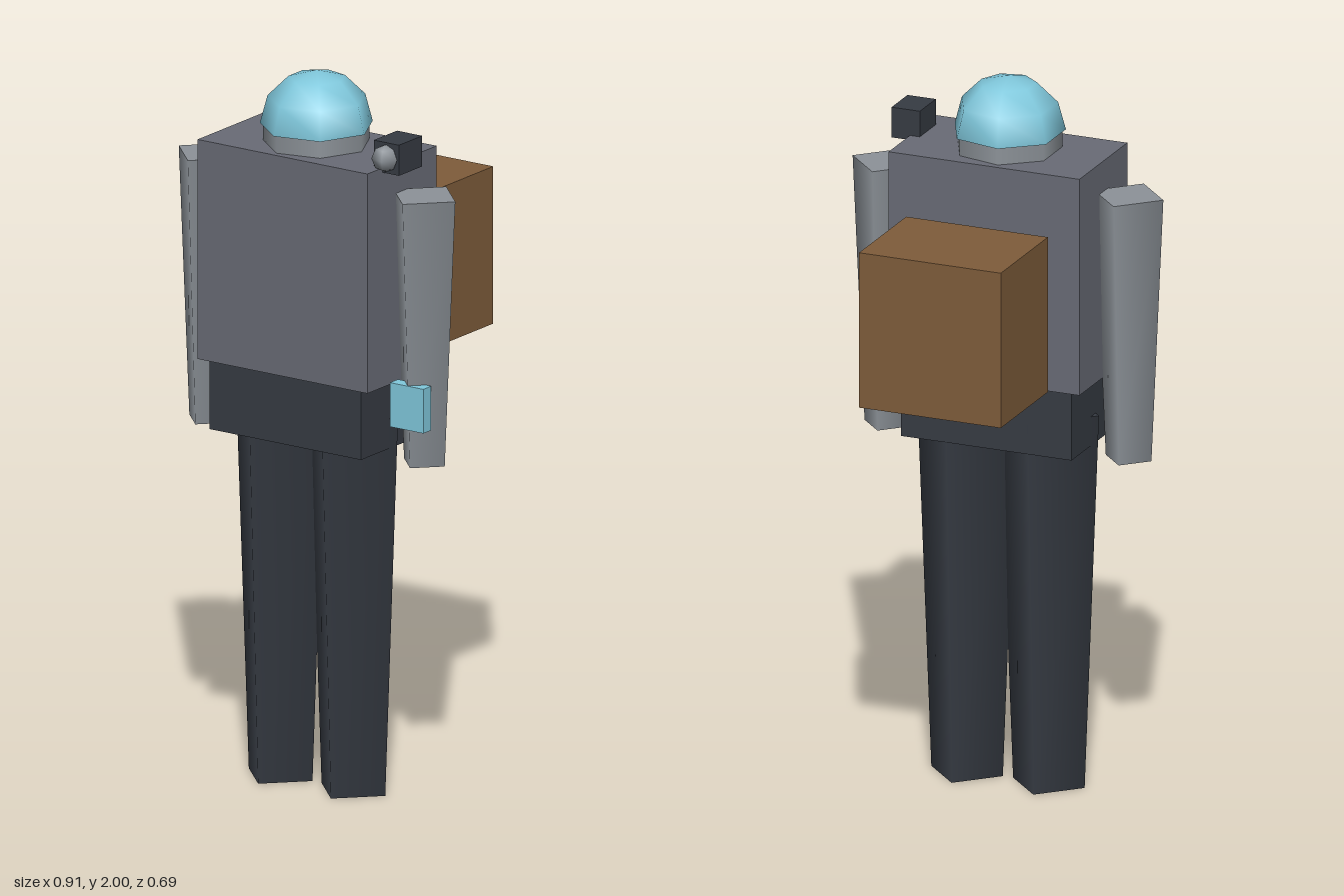
import * as THREE from 'three';

const mat = (name, color, side = THREE.FrontSide) => {
  const m = new THREE.MeshStandardMaterial({ color, side });
  m.name = name;
  return m;
};

export function createModel() {
  const model = new THREE.Group();
  model.name = 'explorer';
  const suit = mat('suitGrey', 0x686b75);
  const metal = mat('lightMetal', 0x8c9298);
  const dark = mat('darkFabric', 0x363b43);
  const brown = mat('packBrown', 0x7e5c3a);
  const glass = mat('cyanGlass', 0x80c8dc, THREE.DoubleSide);

  const add = (name, geometry, material, x, y, z) => {
    const mesh = new THREE.Mesh(geometry, material);
    mesh.name = name;
    mesh.position.set(x, y, z);
    model.add(mesh);
    return mesh;
  };
  // Box given by its lower and upper corners
  const box = (name, material, [x0, y0, z0], [x1, y1, z1]) =>
    add(name, new THREE.BoxGeometry(x1 - x0, y1 - y0, z1 - z0), material,
      (x0 + x1) / 2, (y0 + y1) / 2, (z0 + z1) / 2);
  // Four-sided tapered limb with its corners on the axes
  const limb = (name, material, rTop, rBottom, y0, y1, x) =>
    add(name, new THREE.CylinderGeometry(rTop, rBottom, y1 - y0, 4), material,
      x, (y0 + y1) / 2, 0.182);

  // Body
  box('torso', suit, [-0.28, 1.18, 0.02], [0.28, 1.797, 0.343]);
  box('pelvis', dark, [-0.25, 0.985, 0.036], [0.25, 1.18, 0.33]);
  box('backpack', brown, [-0.208, 1.195, -0.345], [0.208, 1.637, -0.027]);

  // Arms and legs
  for (const [side, s] of [['left', 1], ['right', -1]]) {
    limb(side + 'Arm', metal, 0.102, 0.067, 0.96, 1.71, 0.354 * s);
    limb(side + 'Leg', dark, 0.147, 0.105, 0, 1.068, 0.12 * s);
  }

  // Collar and domed helmet, seven-sided
  add('collar', new THREE.CylinderGeometry(0.147, 0.147, 0.07, 7), metal, 0, 1.82, 0.182)
    .rotation.y = Math.PI / 2;
  add('helmetDome', new THREE.SphereGeometry(0.156, 7, 3, 0, Math.PI * 2, 0, Math.PI / 2),
    glass, 0, 1.846, 0.182).rotation.y = Math.PI;

  // Shoulder camera with its lens
  box('shoulderCamera', dark, [0.251, 1.784, 0.164], [0.334, 1.87, 0.272]);
  add('cameraLens', new THREE.SphereGeometry(0.038, 5, 4), metal, 0.292, 1.827, 0.276)
    .rotation.y = Math.PI;

  // Screen on the left wrist
  box('wristScreen', glass, [0.297, 1.07, 0.225], [0.407, 1.194, 0.262]);

  return model;
}
